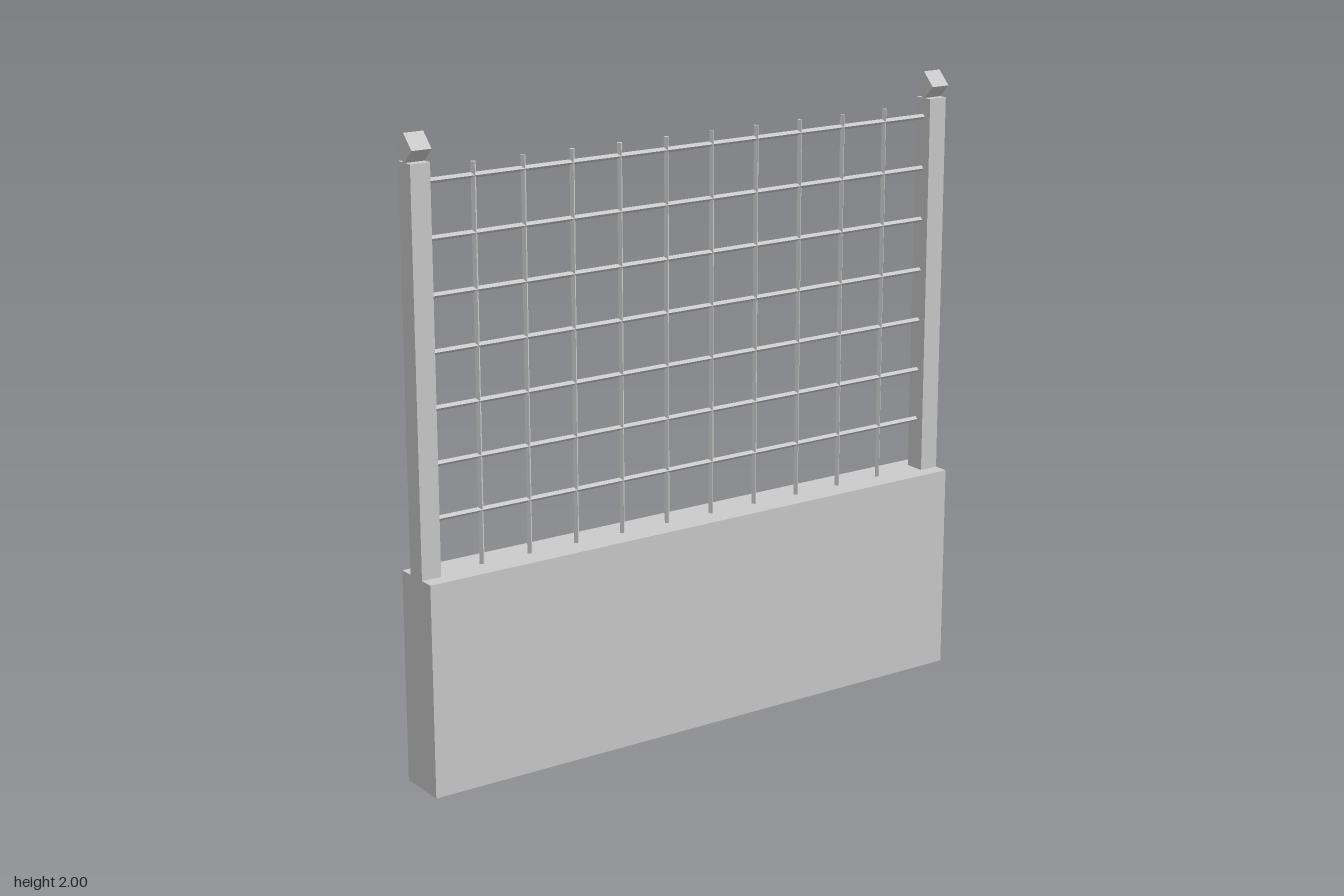
import * as THREE from 'three';

export function createModel() {
  const model = new THREE.Group();
  model.name = 'fencePanel';
  const material = new THREE.MeshStandardMaterial({ color: 0xcccccc, flatShading: true });

  // Box part, centred at the given position
  function box(name, size, position) {
    const mesh = new THREE.Mesh(new THREE.BoxGeometry(...size), material);
    mesh.name = name;
    mesh.position.set(...position);
    model.add(mesh);
    return mesh;
  }

  const halfWidth = 0.983, wallTop = 0.675, postTop = 1.915, postWidth = 0.065;

  // Solid base wall
  box('baseWall', [2 * halfWidth, wallTop, 0.166], [0, wallTop / 2, 0]);

  // End posts, each with a cube cap standing on its edge
  for (const [side, label] of [[1, 'left'], [-1, 'right']]) {
    const x = side * (halfWidth - postWidth / 2);
    const height = postTop - wallTop;
    box(label + 'Post', [postWidth, height, 0.068], [x, wallTop + height / 2, 0]);
    const cap = box(label + 'PostCap', [postWidth, 0.064, 0.064], [x, 1.955, 0]);
    cap.rotation.x = Math.PI / 4;
  }

  // Wire grid of square bars turned on their corners
  const bar = 0.0125, spacing = 0.1683, barTop = 1.895;
  const innerWidth = 2 * (halfWidth - postWidth);
  for (let i = 0; i < 10; i++) {
    const height = barTop - wallTop;
    const upright = box('verticalBar' + (i + 1), [bar, height, bar],
      [(i - 4.5) * spacing, wallTop + height / 2, 0]);
    upright.rotation.y = Math.PI / 4;
  }
  for (let i = 0; i < 7; i++) {
    const rail = box('horizontalBar' + (i + 1), [innerWidth, bar, bar],
      [0, 0.845 + i * spacing, 0]);
    rail.rotation.x = Math.PI / 4;
  }

  return model;
}
